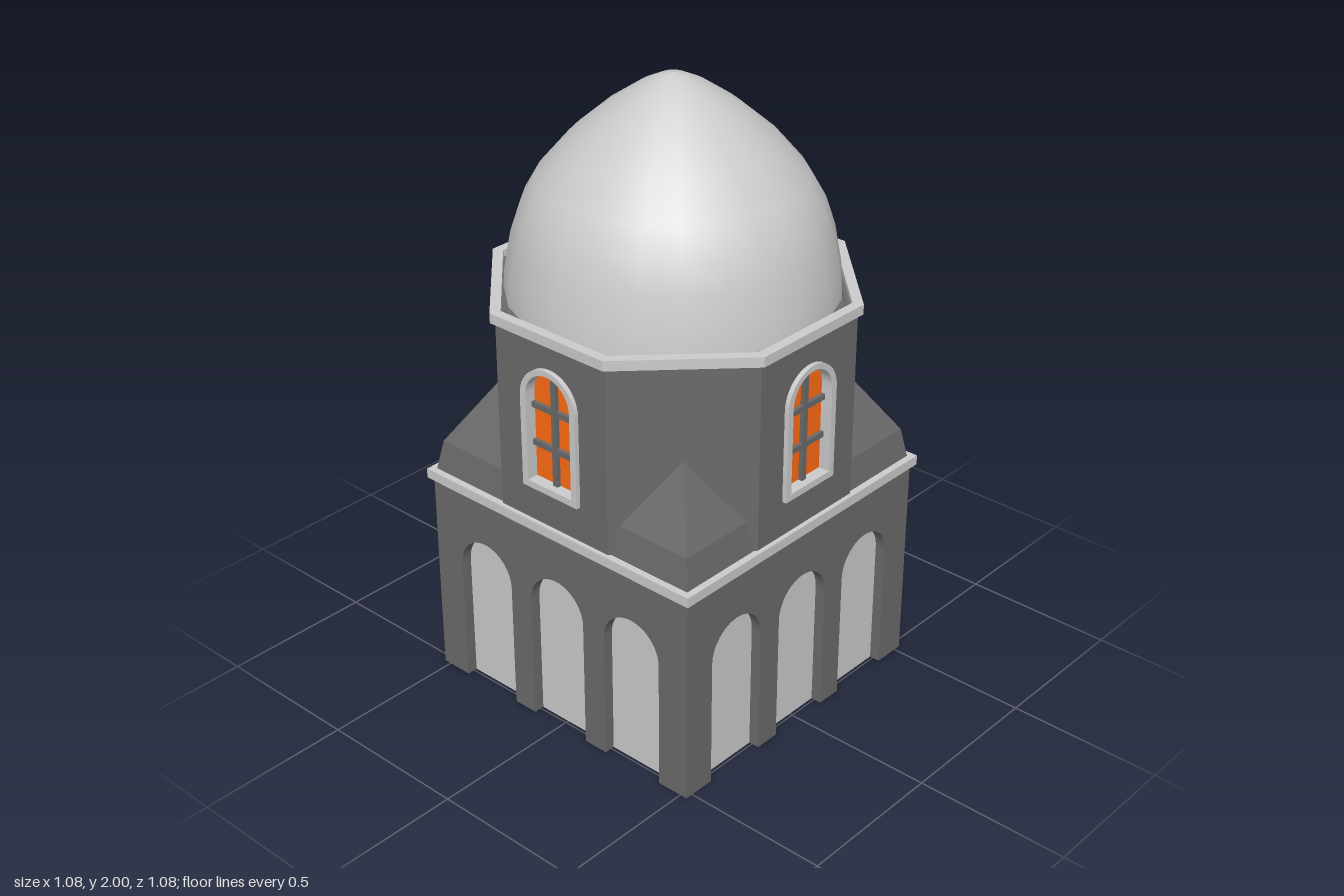
import * as THREE from 'three';

const DARK = 0x6a6a6a, LIGHT = 0xcccccc, GLOW = 0xff6a14;
const mat = (color, flatShading = true) =>
  new THREE.MeshStandardMaterial({ color, flatShading, side: THREE.DoubleSide });
const stone = mat(DARK), trim = mat(LIGHT), glass = mat(GLOW), smooth = mat(LIGHT, false);

function add(parent, name, geometry, material, x = 0, y = 0, z = 0) {
  const mesh = new THREE.Mesh(geometry, material);
  mesh.name = name;
  mesh.position.set(x, y, z);
  parent.add(mesh);
  return mesh;
}

const extrude = (shape, depth) =>
  new THREE.ExtrudeGeometry(shape, { depth, bevelEnabled: false, curveSegments: 12 });

// Round-headed outline: half width w, from y0 up to the crown y1
function arch(w, y0, y1, Type = THREE.Shape) {
  const s = new Type();
  s.moveTo(-w, y0);
  s.lineTo(w, y0);
  s.lineTo(w, y1 - w);
  s.absarc(0, y1 - w, w, 0, Math.PI, false);
  s.lineTo(-w, y0);
  return s;
}

// Regular polygon with a flat side facing each axis
function polygon(sides, apothem, Type = THREE.Shape) {
  const r = apothem / Math.cos(Math.PI / sides);
  const pts = [];
  for (let i = 0; i < sides; i++) {
    const a = ((i + 0.5) * 2 * Math.PI) / sides;
    pts.push(new THREE.Vector2(r * Math.cos(a), r * Math.sin(a)));
  }
  return new Type(pts);
}

// Flat polygonal moulding
function ring(sides, outer, inner, height) {
  const s = polygon(sides, outer);
  s.holes.push(polygon(sides, inner, THREE.Path));
  return extrude(s, height).rotateX(-Math.PI / 2);
}

// One side of the square base: arcade wall with recessed panels
function arcade() {
  const g = new THREE.Group();
  g.name = 'arcadeSide';
  const H = 0.525, W = 0.11, spring = 0.425, centres = [-0.305, 0, 0.305];
  const s = new THREE.Shape();
  s.moveTo(-H, 0);
  for (const c of centres) {
    s.lineTo(c - W, 0);
    s.lineTo(c - W, spring);
    s.absarc(c, spring, W, Math.PI, 0, true);
    s.lineTo(c + W, 0);
  }
  s.lineTo(H, 0);
  s.lineTo(H, 0.7);
  s.lineTo(-H, 0.7);
  add(g, 'arcadeWall', extrude(s, 0.04), stone, 0, 0, H - 0.04);
  for (const c of centres)
    add(g, 'archPanel', extrude(arch(W, 0, spring + W), 0.01), trim, c, 0, H - 0.045);
  return g;
}

// One side of the octagonal drum, with or without a window
function drumSide(hasWindow) {
  const g = new THREE.Group();
  g.name = 'drumSide';
  const A = 0.525, w = A * Math.tan(Math.PI / 8);
  const s = new THREE.Shape([[-w, 0.7], [w, 0.7], [w, 1.34], [-w, 1.34]]
    .map(p => new THREE.Vector2(...p)));
  if (hasWindow) s.holes.push(arch(0.1, 0.85, 1.24, THREE.Path));
  add(g, 'drumWall', extrude(s, 0.03), stone, 0, 0, A - 0.03);
  if (hasWindow) {
    const frame = arch(0.11, 0.84, 1.25);
    frame.holes.push(arch(0.088, 0.862, 1.232, THREE.Path));
    add(g, 'windowFrame', extrude(frame, 0.045), trim, 0, 0, 0.495);
    add(g, 'windowPane', new THREE.ShapeGeometry(arch(0.1, 0.85, 1.24)), glass, 0, 0, 0.502);
    add(g, 'mullion', new THREE.BoxGeometry(0.018, 0.375, 0.016), stone, 0, 1.048, 0.508);
    for (const y of [0.98, 1.105])
      add(g, 'glazingBar', new THREE.BoxGeometry(0.178, 0.018, 0.014), stone, 0, y, 0.508);
  }
  return g;
}

// Corner broach: a short battered foot, then a pyramid leaning on the drum
function broach() {
  const a = [0.22, 0.71, 0.52], c = [0.52, 0.71, 0.52], b = [0.52, 0.71, 0.22];
  const a2 = [0.24, 0.82, 0.5], c2 = [0.5, 0.82, 0.5], b2 = [0.5, 0.82, 0.24];
  const top = [0.37, 1.03, 0.37];
  const tris = [a, c, c2, a, c2, a2, c, b, b2, c, b2, c2, a2, c2, top, c2, b2, top];
  const geo = new THREE.BufferGeometry();
  geo.setAttribute('position', new THREE.Float32BufferAttribute(tris.flat(), 3));
  geo.computeVertexNormals();
  return geo;
}

export function createModel() {
  const model = new THREE.Group();
  model.name = 'domedTower';

  // Square base and its corner broaches
  for (let i = 0; i < 4; i++) {
    const side = arcade();
    side.rotation.y = (i * Math.PI) / 2;
    model.add(side);
    add(model, 'cornerBroach', broach(), stone).rotation.y = (i * Math.PI) / 2;
  }
  add(model, 'baseCornice', ring(4, 0.54, 0.51, 0.032), trim, 0, 0.691, 0);

  // Octagonal drum
  for (let i = 0; i < 8; i++) {
    const side = drumSide(i % 2 === 0);
    side.rotation.y = (i * Math.PI) / 4;
    model.add(side);
  }
  add(model, 'drumCornice', ring(8, 0.54, 0.508, 0.032), trim, 0, 1.33, 0);
  const deck = new THREE.ShapeGeometry(polygon(8, 0.52)).rotateX(-Math.PI / 2);
  add(model, 'drumDeck', deck, stone, 0, 1.335, 0);

  // Pointed dome
  const profile = [[0.505, 1.335], [0.5, 1.4], [0.478, 1.52], [0.448, 1.61], [0.4, 1.695],
    [0.31, 1.8], [0.2, 1.895], [0.1, 1.963], [0.04, 1.992], [0, 2]];
  add(model, 'dome', new THREE.LatheGeometry(profile.map(p => new THREE.Vector2(...p)), 24), smooth);

  return model;
}
